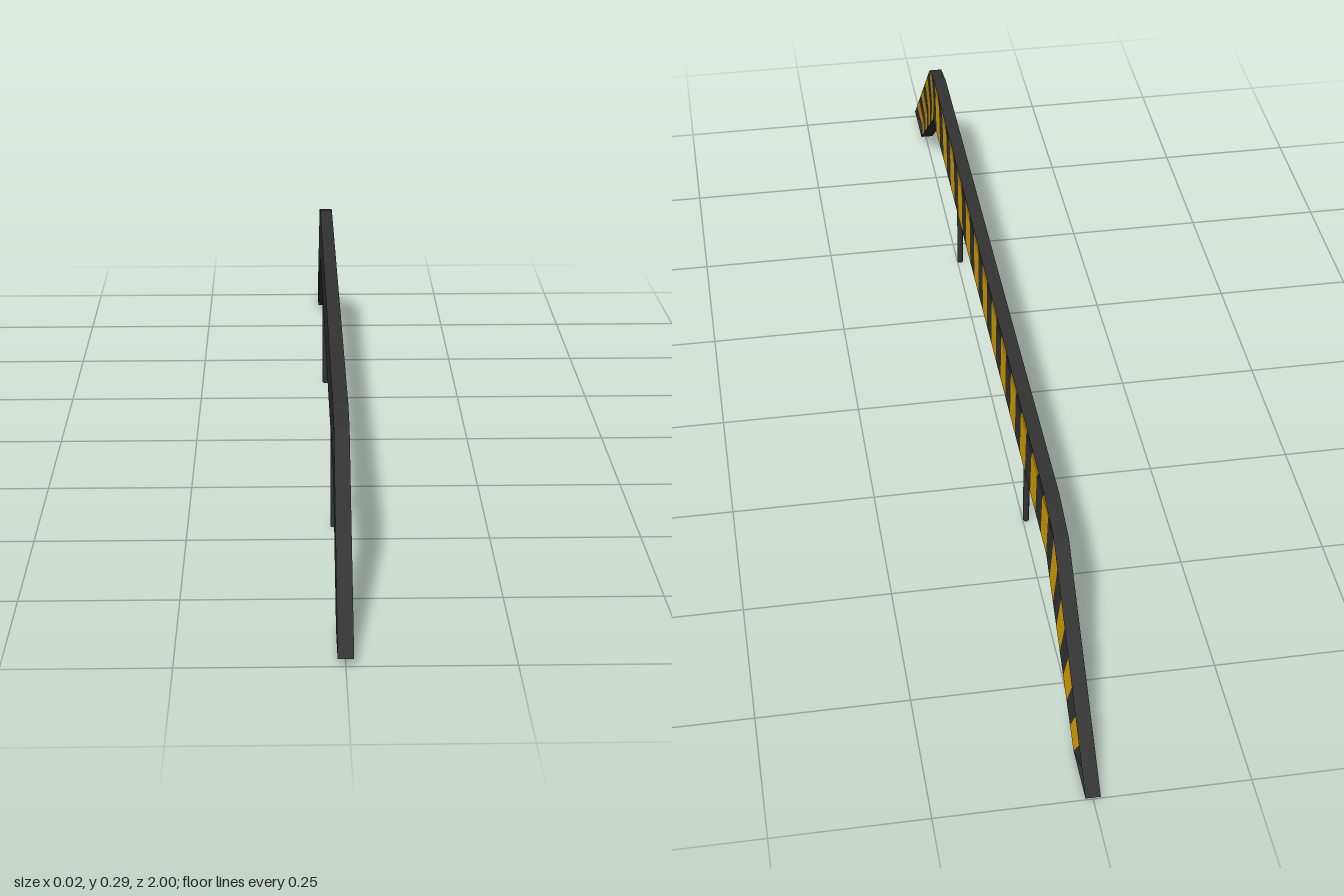
import * as THREE from 'three';

const HALF = 0.012;    // half thickness of the beam
const GROOVE = 0.004;  // x of the recessed centre line on the striped side
const END = 42;        // stripe steps from front tip to back tip

// Rails along the beam as [step, z, y]
const outer = [[0, 1, 0.012], [7, 0.735, 0.273], [9, 0.665, 0.288], [33, -0.615, 0.288], [35, -0.7, 0.27], [END, -1, 0.003]];
const middle = [[0, 0.945, 0.012], [8, 0.71, 0.23], [34, -0.66, 0.23], [END, -0.95, 0.003]];
const inner = [[0, 0.895, 0.012], [8, 0.69, 0.183], [34, -0.64, 0.183], [END, -0.9, 0.003]];

// Cross-section corners, counter-clockwise seen from the front
const ring = [[inner, HALF], [middle, GROOVE], [outer, HALF], [outer, -HALF], [inner, -HALF]];

function corner(j, step) {
  const [rail, x] = ring[j % ring.length];
  const u = THREE.MathUtils.clamp(step, 0, END);
  let i = 0;
  while (i < rail.length - 2 && u > rail[i + 1][0]) i++;
  const [a, b] = [rail[i], rail[i + 1]];
  const t = (u - a[0]) / (b[0] - a[0]);
  return [x, a[1] + (b[1] - a[1]) * t, a[2] + (b[2] - a[2]) * t].map((v, n, p) => (n === 0 ? v : n === 1 ? p[2] : p[1]));
}

function addQuad(out, a, b, c, d) {
  out.push(...a, ...b, ...c, ...a, ...c, ...d);
}

function flatMesh(name, positions, material) {
  const g = new THREE.BufferGeometry();
  g.setAttribute('position', new THREE.Float32BufferAttribute(positions, 3));
  g.computeVertexNormals();
  const mesh = new THREE.Mesh(g, material);
  mesh.name = name;
  return mesh;
}

export function createModel() {
  const group = new THREE.Group();
  group.name = 'stripedBarrier';
  const dark = new THREE.MeshStandardMaterial({ color: 0x333333 });
  const yellow = new THREE.MeshStandardMaterial({ color: 0xd9a000 });

  // Top, back and underside of the beam
  const shell = [];
  for (let u = 0; u < END; u++) {
    for (const j of [2, 3, 4]) {
      addQuad(shell, corner(j, u), corner(j, u + 1), corner(j + 1, u + 1), corner(j + 1, u));
    }
  }
  // End caps
  for (let j = 1; j < 4; j++) {
    shell.push(...corner(0, 0), ...corner(j, 0), ...corner(j + 1, 0));
    shell.push(...corner(0, END), ...corner(j + 1, END), ...corner(j, END));
  }
  group.add(flatMesh('beamShell', shell, dark));

  // Chevrons: the centre line runs one step ahead of both edges
  const stripes = [[], []];
  for (let k = -1; k < END; k++) {
    const out = stripes[Math.abs(k % 2)];
    for (const [j, a, b] of [[0, 1, 0], [1, 0, 1]]) {
      addQuad(out, corner(j, k + a), corner(j, k + 1 + a), corner(j + 1, k + 1 + b), corner(j + 1, k + b));
    }
  }
  group.add(flatMesh('yellowChevrons', stripes[0], yellow));
  group.add(flatMesh('darkChevrons', stripes[1], dark));

  // Support posts
  const postGeometry = new THREE.CylinderGeometry(0.0055, 0.0055, 0.19, 12);
  for (const [name, z] of [['frontPost', 0.44], ['backPost', -0.35]]) {
    const post = new THREE.Mesh(postGeometry, dark);
    post.name = name;
    post.position.set(-0.006, 0.095, z);
    group.add(post);
  }
  return group;
}
